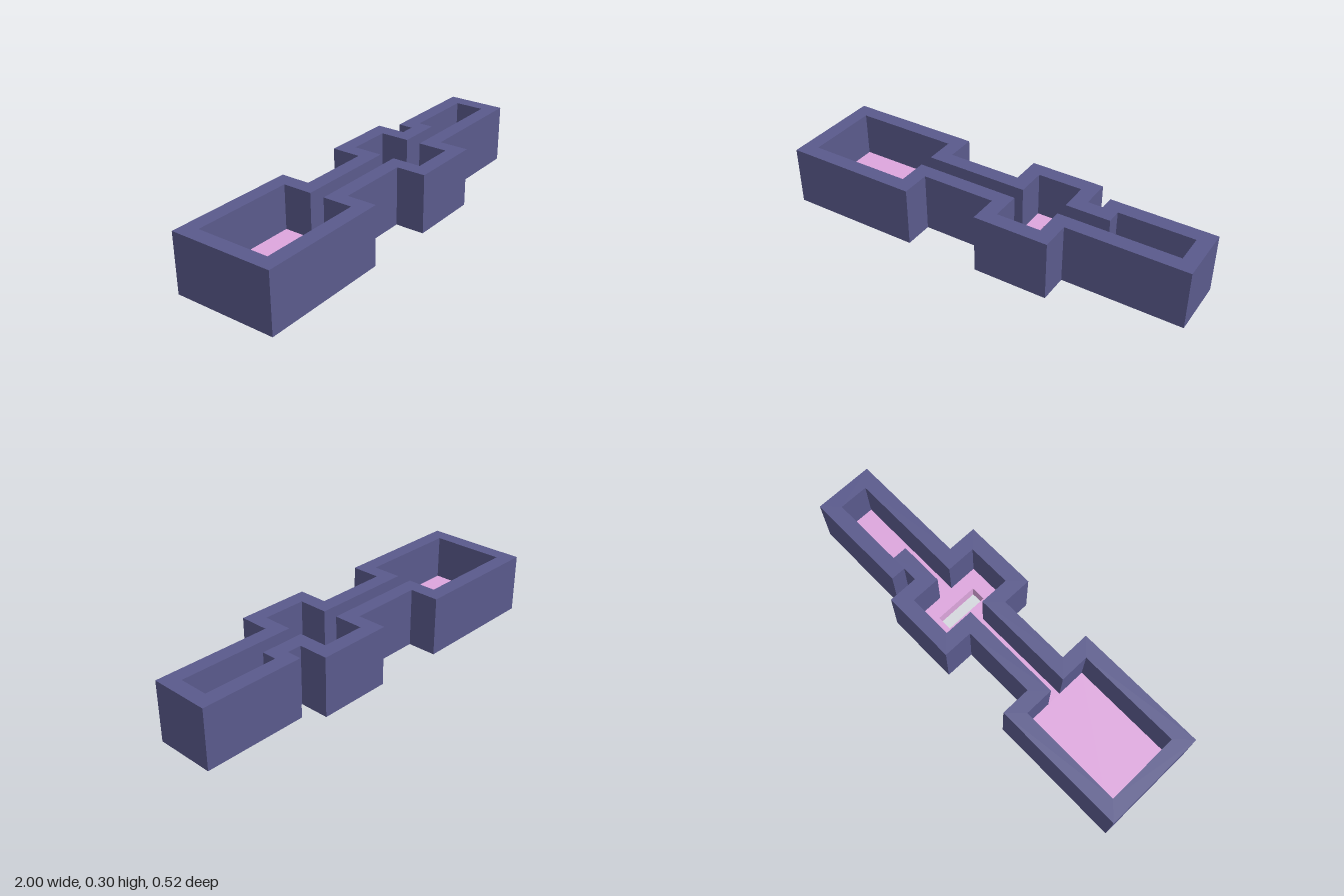
import * as THREE from 'three';

const U = 2 / 27; // wall thickness; the whole plan sits on this grid

// Plan outline, x in grid units from the left end, y towards the back
const OUTER = [
  [0, -3.5], [9, -3.5], [9, -1.5], [14, -1.5], [14, -3.5], [19, -3.5], [19, -1.5], [27, -1.5],
  [27, 2.5], [20, 2.5], [20, 1.5], [19, 1.5], [19, 3.5], [14, 3.5], [14, 1.5], [9, 1.5], [9, 3.5], [0, 3.5],
];
const INNER = [
  [1, -2.5], [8, -2.5], [8, -0.5], [15, -0.5], [15, -2.5], [18, -2.5], [18, -0.5], [26, -0.5],
  [26, 1.5], [21, 1.5], [21, 0.5], [18, 0.5], [18, 2.5], [15, 2.5], [15, 0.5], [8, 0.5], [8, 2.5], [1, 2.5],
];
const SLOT = [[16, -1.5], [17, -1.5], [17, 1.5], [16, 1.5]];

const toPoints = (plan) => plan.map(([x, y]) => new THREE.Vector2((x - 13.5) * U, y * U));

// Upright slab from a plan outline with one opening
function slab(name, outline, hole, height, color) {
  const shape = new THREE.Shape(toPoints(outline));
  shape.holes.push(new THREE.Path(toPoints(hole)));
  const geometry = new THREE.ExtrudeGeometry(shape, { depth: height, bevelEnabled: false });
  geometry.rotateX(-Math.PI / 2);
  const mesh = new THREE.Mesh(geometry, new THREE.MeshStandardMaterial({ color }));
  mesh.name = name;
  return mesh;
}

export function createModel() {
  const model = new THREE.Group();
  model.name = 'roomsAndCorridors';
  // Walls around the three rooms and the corridors joining them
  model.add(slab('walls', OUTER, INNER, 4 * U, 0x5a5a8c));
  // Floor inside the walls, with a slot in the middle room
  model.add(slab('floor', INNER, SLOT, U, 0xdda6dd));
  return model;
}
